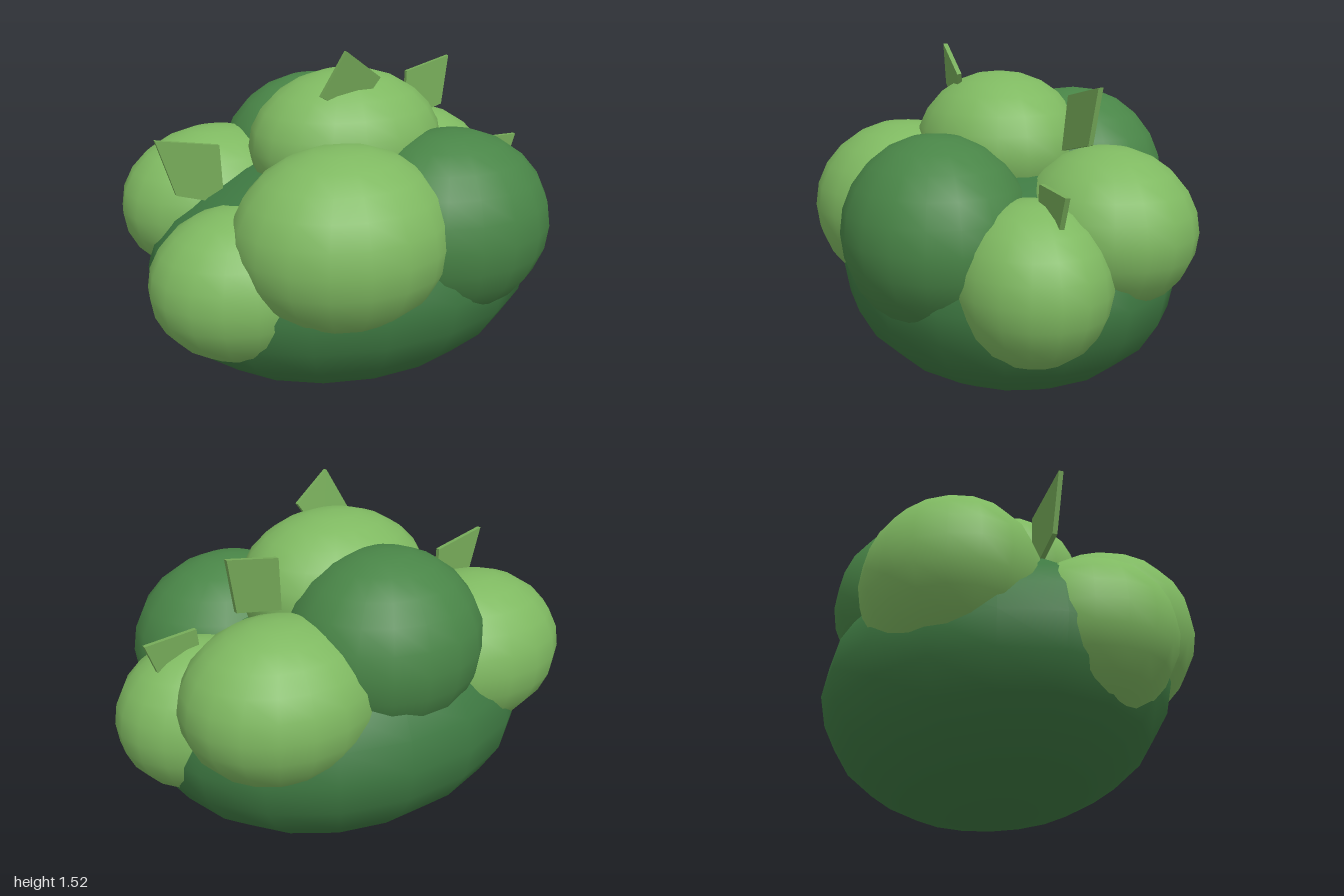
import * as THREE from 'three';

const mat = (name, color) => {
  const m = new THREE.MeshStandardMaterial({ color });
  m.name = name;
  return m;
};

export function createModel() {
  const bush = new THREE.Group();
  bush.name = 'bush';
  const deep = mat('deepGreen', 0x3e7942);
  const dark = mat('darkGreen', 0x498547);
  const light = mat('lightGreen', 0x7fb961);
  const leafGreen = mat('leafGreen', 0x76ab59);

  // Rounded foliage masses: name, material, centre, radii
  const lobes = [
    ['mainFoliage', deep, [-0.03, 0.535, -0.05], [0.91, 0.53, 0.74]],
    ['frontRightLobe', light, [-0.24, 0.79, 0.37], [0.47, 0.39, 0.42]],
    ['frontLeftLobe', dark, [0.29, 0.77, 0.34], [0.46, 0.41, 0.4]],
    ['crownLobe', light, [-0.03, 1.08, -0.02], [0.44, 0.33, 0.37]],
    ['backLobe', dark, [-0.03, 0.93, -0.37], [0.44, 0.4, 0.4]],
    ['backRightLobe', light, [-0.52, 0.78, -0.38], [0.44, 0.35, 0.36]],
    ['backLeftLobe', light, [0.47, 0.79, -0.34], [0.42, 0.34, 0.37]],
    ['leftSideLobe', light, [0.62, 0.62, 0.035], [0.38, 0.335, 0.325]],
    ['rightSideLobe', light, [-0.6, 0.59, 0.16], [0.4, 0.33, 0.36]],
  ];
  const sphere = new THREE.SphereGeometry(1, 18, 12);
  for (const [name, material, centre, radii] of lobes) {
    const lobe = new THREE.Mesh(sphere, material);
    lobe.name = name;
    lobe.position.set(...centre);
    lobe.scale.set(...radii);
    bush.add(lobe);
  }

  // Thin kite-shaped leaves: corners from the tip, z at the tip, slope of z along x and y
  const leaves = [
    ['rightLeaf', [[-0.885, 1.185], [-0.81, 0.94], [-0.6, 0.87], [-0.61, 1.13]], -0.04, -0.05, 0],
    ['topLeaf', [[-0.14, 1.525], [-0.24, 1.34], [-0.08, 1.24], [0.03, 1.4]], 0.2, 0, 0.18],
    ['backLeaf', [[0.63, 1.38], [0.38, 1.33], [0.36, 1.1], [0.585, 1.15]], -0.238, -0.12, -0.06],
    ['leftLeaf', [[0.89, 1.01], [0.65, 1.02], [0.63, 0.86], [0.84, 0.88]], -0.015, -0.08, 0],
  ];
  const thickness = 0.02;
  for (const [name, corners, tipZ, slopeX, slopeY] of leaves) {
    const [tx, ty] = corners[0];
    const shape = new THREE.Shape(corners.map(([x, y]) => new THREE.Vector2(x - tx, y - ty)));
    const geometry = new THREE.ExtrudeGeometry(shape, { depth: thickness, bevelEnabled: false });
    const p = geometry.attributes.position;
    for (let i = 0; i < p.count; i++) {
      p.setZ(i, p.getZ(i) - thickness / 2 + slopeX * p.getX(i) + slopeY * p.getY(i));
    }
    geometry.computeVertexNormals();
    const leaf = new THREE.Mesh(geometry, leafGreen);
    leaf.name = name;
    leaf.position.set(tx, ty, tipZ);
    bush.add(leaf);
  }
  return bush;
}
